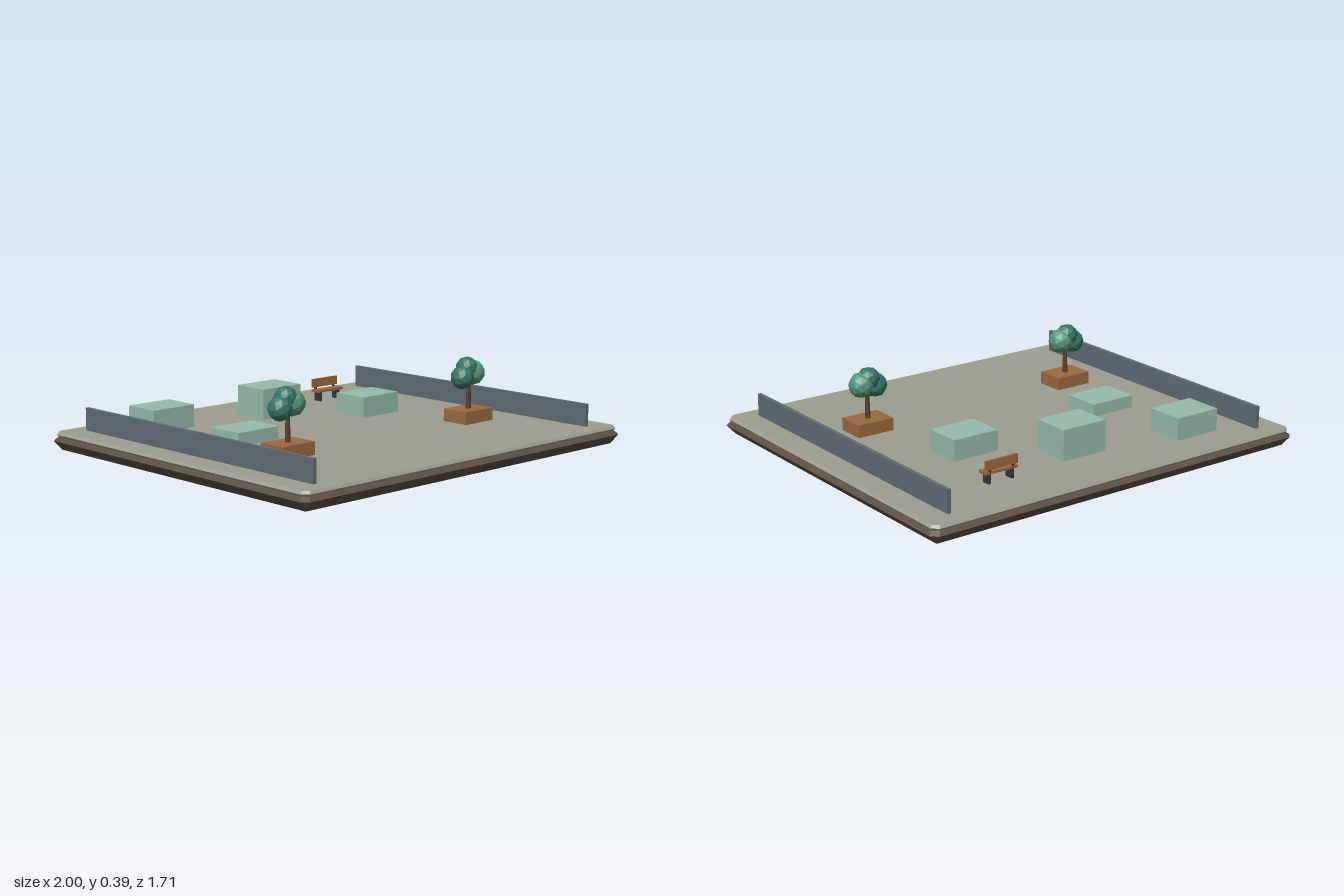
import * as THREE from 'three';

const mat = (color, flatShading = false) => new THREE.MeshStandardMaterial({ color, flatShading });
const STONE = mat(0x9c9e90, true), EARTH = mat(0x5c5044, true), SLATE = mat(0x5f6c74);
const MINT = mat(0x95bbab), WOOD = mat(0x99693f), BARK = mat(0x57402f, true), IRON = mat(0x33383d);
const LEAF_DARK = mat(0x357565, true), LEAF_LIGHT = mat(0x559478, true);
const GROUND = 0.085;

function add(parent, name, geometry, material, x = 0, y = 0, z = 0) {
  const mesh = new THREE.Mesh(geometry, material);
  mesh.name = name;
  mesh.position.set(x, y, z);
  parent.add(mesh);
  return mesh;
}

// Box standing on height y
const block = (parent, name, material, w, h, d, x, y, z) =>
  add(parent, name, new THREE.BoxGeometry(w, h, d), material, x, y + h / 2, z);

// Slab lofted through chamfered rectangles [halfX, halfZ, chamfer, y], bottom to top
function slab(rings) {
  const pos = [], idx = [];
  for (const [a, b, c, y] of rings) {
    const outline = [[a, b - c], [a, c - b], [a - c, -b], [c - a, -b],
      [-a, c - b], [-a, b - c], [c - a, b], [a - c, b]];
    for (const [x, z] of outline) pos.push(x, y, z);
  }
  for (let r = 0; r < rings.length - 1; r++) {
    for (let i = 0; i < 8; i++) {
      const p = r * 8 + i, q = r * 8 + (i + 1) % 8;
      idx.push(p, q, q + 8, p, q + 8, p + 8);
    }
  }
  const top = (rings.length - 1) * 8;
  for (let i = 1; i < 7; i++) idx.push(0, i + 1, i, top, top + i, top + i + 1);
  const g = new THREE.BufferGeometry();
  g.setAttribute('position', new THREE.Float32BufferAttribute(pos, 3));
  g.setIndex(idx);
  const flat = g.toNonIndexed();
  flat.computeVertexNormals();
  return flat;
}

function planterTree(x, z) {
  const g = new THREE.Group();
  g.name = 'planterTree';
  g.position.set(x, GROUND, z);
  block(g, 'planter', WOOD, 0.186, 0.059, 0.139, 0, 0, 0);
  add(g, 'trunk', new THREE.CylinderGeometry(0.008, 0.013, 0.16, 8), BARK, 0, 0.135, 0);
  // Overlapping foliage clumps: x, y, z, radius
  const clumps = [
    [-0.041, 0.209, -0.002, 0.056, LEAF_DARK],
    [0.034, 0.224, -0.009, 0.06, LEAF_LIGHT],
    [0, 0.249, -0.012, 0.053, LEAF_DARK],
  ];
  for (const [cx, cy, cz, r, m] of clumps) add(g, 'foliage', new THREE.IcosahedronGeometry(r, 1), m, cx, cy, cz);
  return g;
}

function bench(x, z) {
  const g = new THREE.Group();
  g.name = 'bench';
  g.position.set(x, GROUND, z);
  block(g, 'seat', WOOD, 0.168, 0.012, 0.05, 0, 0.045, 0);
  block(g, 'backrest', WOOD, 0.168, 0.042, 0.01, 0, 0.066, -0.021);
  for (const s of [-1, 1]) {
    block(g, 'leg', IRON, 0.013, 0.045, 0.04, s * 0.06, 0, 0);
    block(g, 'backSupport', IRON, 0.01, 0.022, 0.008, s * 0.06, 0.05, -0.021);
  }
  return g;
}

export function createModel() {
  const model = new THREE.Group();
  model.name = 'courtyard';

  // Bevelled base with the paved slab on top
  add(model, 'base', slab([[0.96, 0.818, 0.002, 0], [1, 0.855, 0.03, 0.045], [0.975, 0.833, 0.022, 0.064]]), EARTH);
  add(model, 'paving', slab([[0.976, 0.834, 0.02, 0.06], [0.988, 0.845, 0.028, 0.073], [0.978, 0.836, 0.022, GROUND]]), STONE);

  // Low side walls
  for (const s of [-1, 1]) block(model, 'sideWall', SLATE, 0.018, 0.105, 1.52, s * 0.856, GROUND, 0);

  // Plinths: x, z, height
  for (const [x, z, h] of [[-0.573, -0.576, 0.105], [0, -0.478, 0.144], [0.377, -0.194, 0.097], [-0.479, -0.099, 0.059]]) {
    block(model, 'plinth', MINT, 0.234, h, 0.184, x, GROUND, z);
  }

  for (const s of [-1, 1]) model.add(planterTree(s * 0.57, 0.283));
  model.add(bench(0.472, -0.575));
  return model;
}
